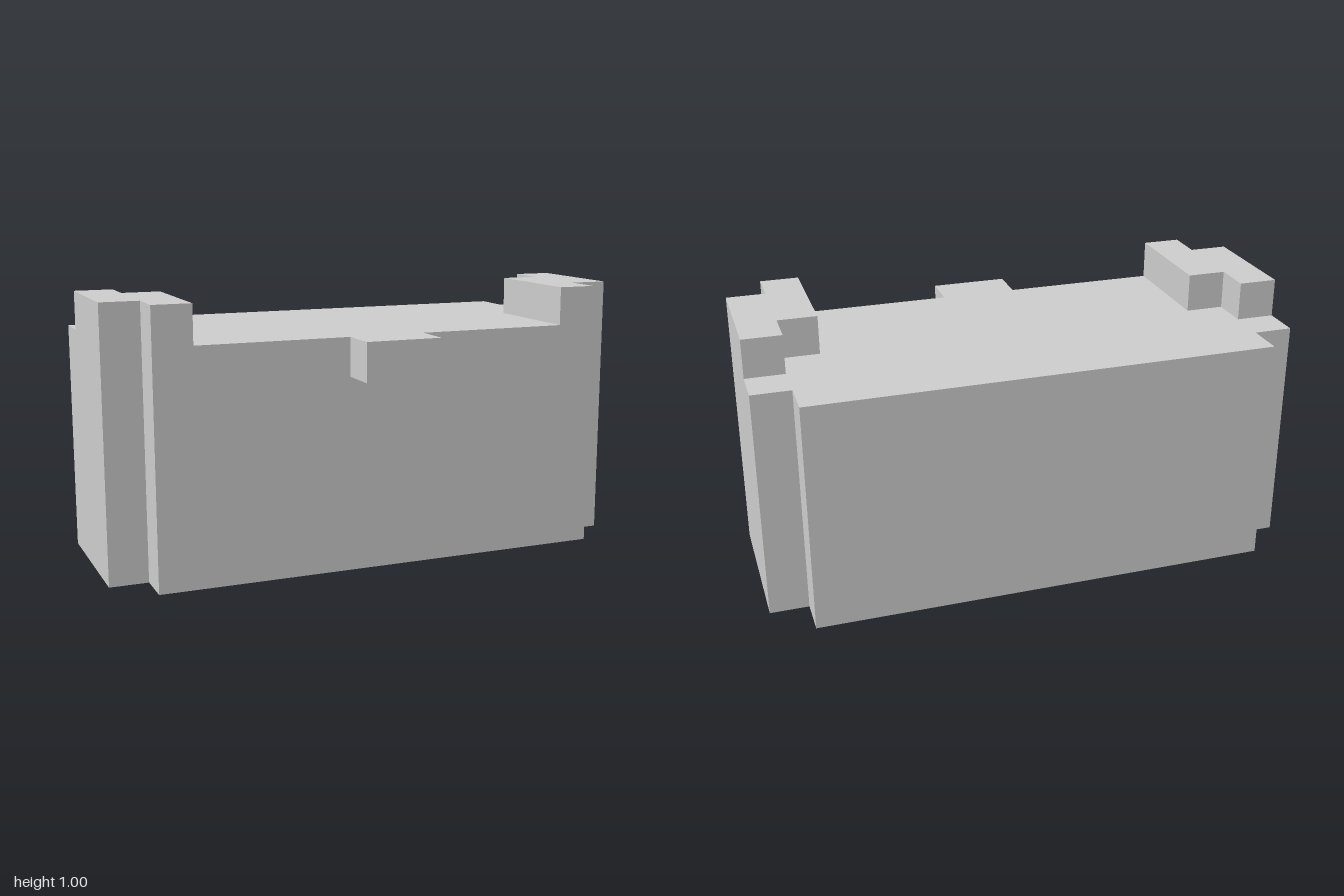
import * as THREE from 'three';

const U = 1 / 7; // one block of the grid

export function createModel() {
  const model = new THREE.Group();
  model.name = 'blockyChest';
  const material = new THREE.MeshStandardMaterial({ color: 0xcccccc, flatShading: true });

  // box spanning two corners, measured in blocks
  function block(name, [x0, y0, z0], [x1, y1, z1]) {
    const geometry = new THREE.BoxGeometry((x1 - x0) * U, (y1 - y0) * U, (z1 - z0) * U);
    const mesh = new THREE.Mesh(geometry, material);
    mesh.position.set((x0 + x1) / 2 * U, (y0 + y1) / 2 * U, (z0 + z1) / 2 * U);
    mesh.name = name;
    model.add(mesh);
  }

  // long walls, open underneath
  block('frontWall', [-6, 0, 1.5], [6, 6, 2.5]);
  block('backWall', [-6, 0, -3.5], [6, 6, -2.5]);

  // top panel between the walls
  block('topPanel', [-6, 5, -2.5], [6, 6, 1.5]);

  // latch on the front
  block('latch', [-1, 5, 2.5], [1, 6, 3.5]);

  // mirrored end walls and raised corner pieces
  for (const [side, s] of [['left', 1], ['right', -1]]) {
    const mirrored = (name, a, b) => {
      const xs = [a[0] * s, b[0] * s].sort((p, q) => p - q);
      block(side + name, [xs[0], a[1], a[2]], [xs[1], b[1], b[2]]);
    };
    mirrored('EndWall', [6, 0, -2.5], [7, 6, 1.5]);
    mirrored('OuterCorner', [6, 6, -1.5], [7, 7, 1.5]);
    mirrored('InnerCorner', [5, 6, -0.5], [6, 7, 2.5]);
  }
  return model;
}
